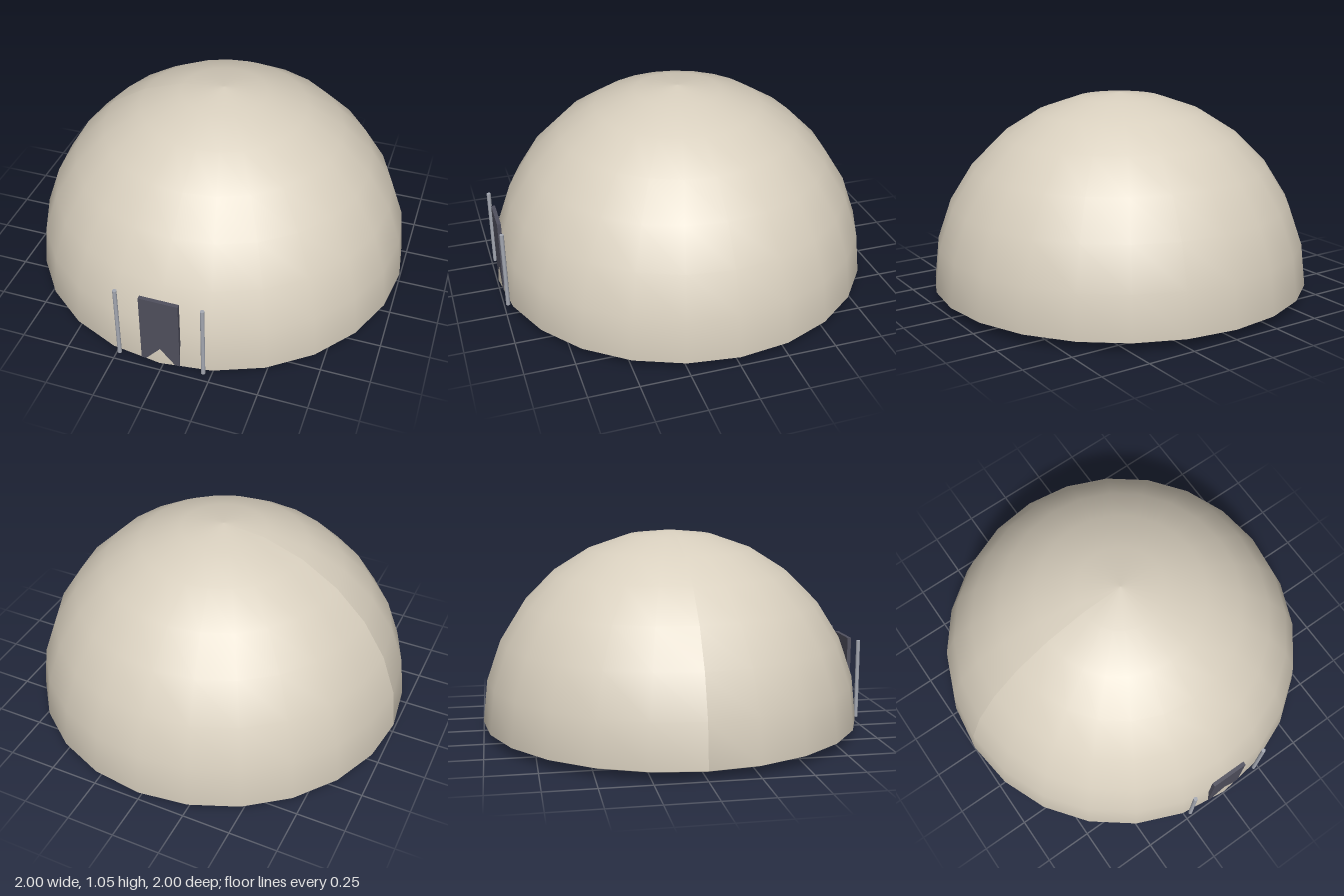
import * as THREE from 'three';

export function createModel() {
  const model = new THREE.Group();
  const canvas = new THREE.MeshStandardMaterial({ color: 0xd8cfbe });
  canvas.name = 'sandCanvas';
  const dark = new THREE.MeshStandardMaterial({ color: 0x50505e });
  dark.name = 'darkDoor';
  const metal = new THREE.MeshStandardMaterial({ color: 0xa6aab4 });
  metal.name = 'greyMetal';

  const add = (name, geometry, material, x, y, z) => {
    const mesh = new THREE.Mesh(geometry, material);
    mesh.name = name;
    mesh.position.set(x, y, z);
    model.add(mesh);
  };

  // Dome: a sphere whose lower half is squashed into a shallow, almost flat base
  const domeGeo = new THREE.SphereGeometry(1, 24, 14);
  const p = domeGeo.attributes.position;
  for (let i = 0; i < p.count; i++) {
    if (p.getY(i) < 0) p.setY(i, p.getY(i) * 0.05);
  }
  domeGeo.computeVertexNormals();
  add('dome', domeGeo, canvas, 0, 0.05, 0);

  // Entrance panel, partly sunk into the dome's front ridge
  add('door', new THREE.BoxGeometry(0.2, 0.4, 0.02), dark, 0, 0.25, 0.98);

  // Posts on both sides of the entrance
  for (const side of [-1, 1]) {
    const post = new THREE.CylinderGeometry(0.011, 0.011, 0.42, 8);
    add(side > 0 ? 'leftPost' : 'rightPost', post, metal, side * 0.22, 0.25, 0.985);
  }
  return model;
}
